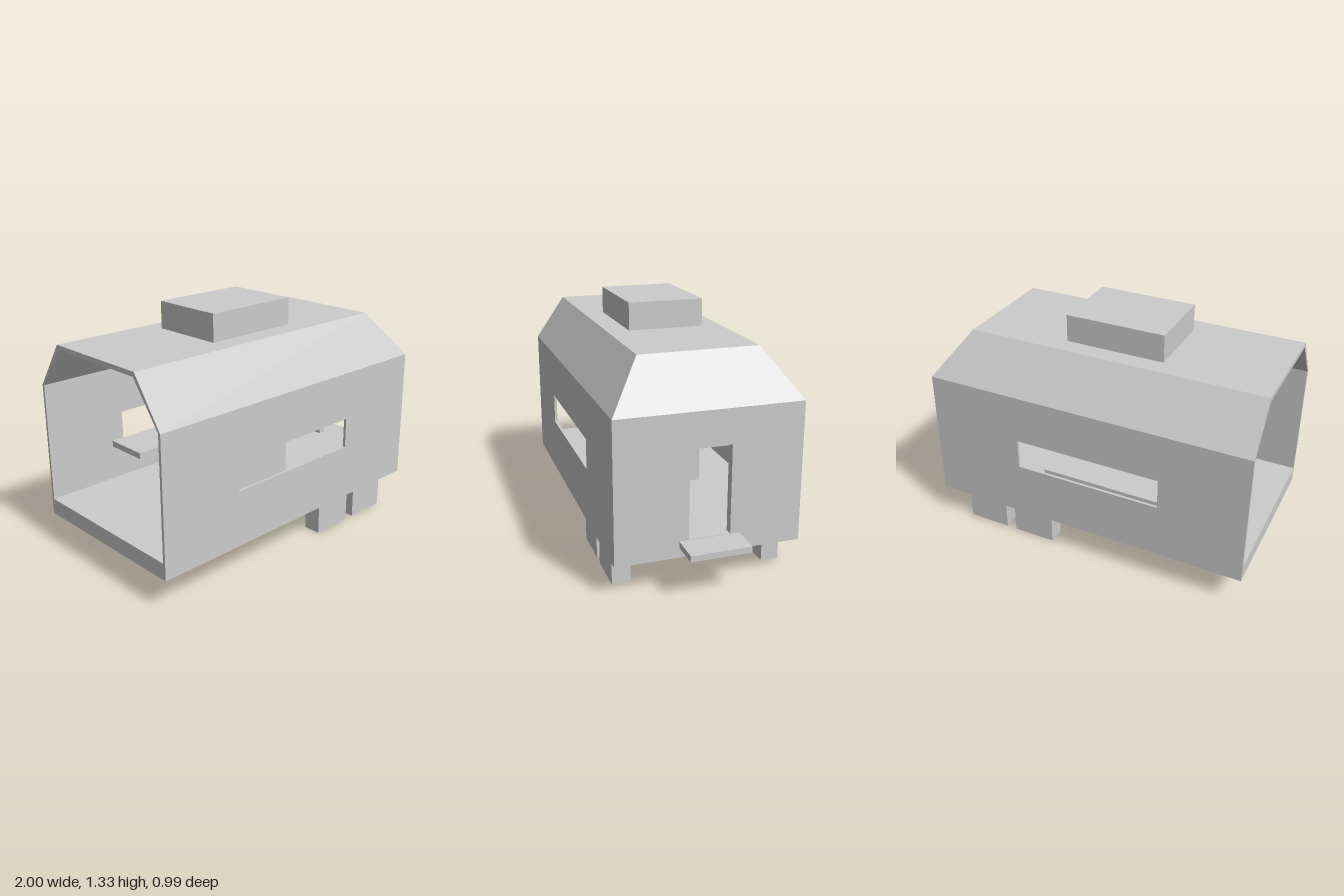
import * as THREE from 'three';

const BACK = -1, FRONT = 0.84, HALF = 0.4925;   // shell length and half width
const BASE = 0.18, EAVE = 0.93, RIDGE = 1.18;   // shell heights
const WALL = 0.015, END = 0.045;                // wall thicknesses

const grey = new THREE.MeshStandardMaterial({ color: 0xcccccc });
grey.name = 'plain grey';

export function createModel() {
  const model = new THREE.Group();
  model.name = 'camper';

  const add = (name, geometry) => {
    const mesh = new THREE.Mesh(geometry, grey);
    mesh.name = name;
    model.add(mesh);
    return mesh;
  };

  // box given by its limits on each axis
  const box = (name, x0, x1, y0, y1, z0, z1) =>
    add(name, new THREE.BoxGeometry(x1 - x0, y1 - y0, z1 - z0))
      .position.set((x0 + x1) / 2, (y0 + y1) / 2, (z0 + z1) / 2);

  const rect = (path, x0, x1, y0, y1) =>
    path.moveTo(x0, y0).lineTo(x1, y0).lineTo(x1, y1).lineTo(x0, y1).closePath();

  // upright wall with one rectangular opening
  const wall = (outer, hole, depth) => {
    const shape = rect(new THREE.Shape(), ...outer);
    shape.holes.push(rect(new THREE.Path(), ...hole));
    return new THREE.ExtrudeGeometry(shape, { depth, bevelEnabled: false });
  };

  // slab between an outer four-corner face and the matching inner one
  const slab = (name, outer, inner) => {
    const p = [];
    const quad = (a, b, c, d) => p.push(...a, ...b, ...c, ...a, ...c, ...d);
    quad(...outer);
    quad(...[...inner].reverse());
    for (let i = 0; i < 4; i++) {
      const j = (i + 1) % 4;
      quad(outer[i], inner[i], inner[j], outer[j]);
    }
    const geometry = new THREE.BufferGeometry();
    geometry.setAttribute('position', new THREE.Float32BufferAttribute(p, 3));
    geometry.computeVertexNormals();
    add(name, geometry);
  };

  // side walls with long windows
  for (const [name, z] of [['leftWall', HALF - WALL], ['rightWall', -HALF]]) {
    add(name, wall([BACK, FRONT, BASE, EAVE], [-0.52, 0.31, 0.49, 0.66], WALL)).position.z = z;
  }

  // end wall with doorway, floor and doorstep
  const inside = HALF - WALL;
  const endWall = add('doorWall', wall([-inside, inside, BASE, EAVE], [-0.11, 0.11, 0.27, 0.745], END));
  endWall.rotation.y = Math.PI / 2;
  endWall.position.x = FRONT - END;
  box('floor', BACK, FRONT - END, BASE, 0.27, -inside, inside);
  box('doorstep', FRONT, 1, 0.235, 0.268, -0.16, 0.16);

  // roof: flat top, two sloping sides and a sloping end; the back stays open
  const ring = (hb, ht, xb, xt, yt) => ({
    bl: [BACK, EAVE, hb], fl: [xb, EAVE, hb], br: [BACK, EAVE, -hb], fr: [xb, EAVE, -hb],
    tbl: [BACK, yt, ht], tfl: [xt, yt, ht], tbr: [BACK, yt, -ht], tfr: [xt, yt, -ht],
  });
  const out = ring(HALF, 0.318, FRONT, 0.66, RIDGE);
  const inn = ring(HALF - WALL, 0.308, FRONT - END, 0.635, RIDGE - 0.025);
  const roofPanel = (name, keys) => slab(name, keys.map(k => out[k]), keys.map(k => inn[k]));
  roofPanel('roofTop', ['tbl', 'tfl', 'tfr', 'tbr']);
  roofPanel('roofLeft', ['bl', 'fl', 'tfl', 'tbl']);
  roofPanel('roofRight', ['fr', 'br', 'tbr', 'tfr']);
  roofPanel('roofEnd', ['fl', 'fr', 'tfr', 'tfl']);

  // central column rising through the roof, with a table beside it
  box('column', -0.415, 0.135, 0.27, 1.33, -0.215, 0.2);
  box('table', -0.6, 0.16, 0.47, 0.505, -0.47, -0.215);

  // four block wheels
  for (const [x0, x1] of [[0.135, 0.38], [0.44, 0.685]]) {
    box('leftWheel', x0, x1, 0, BASE, 0.365, 0.465);
    box('rightWheel', x0, x1, 0, BASE, -0.46, -0.362);
  }
  return model;
}
